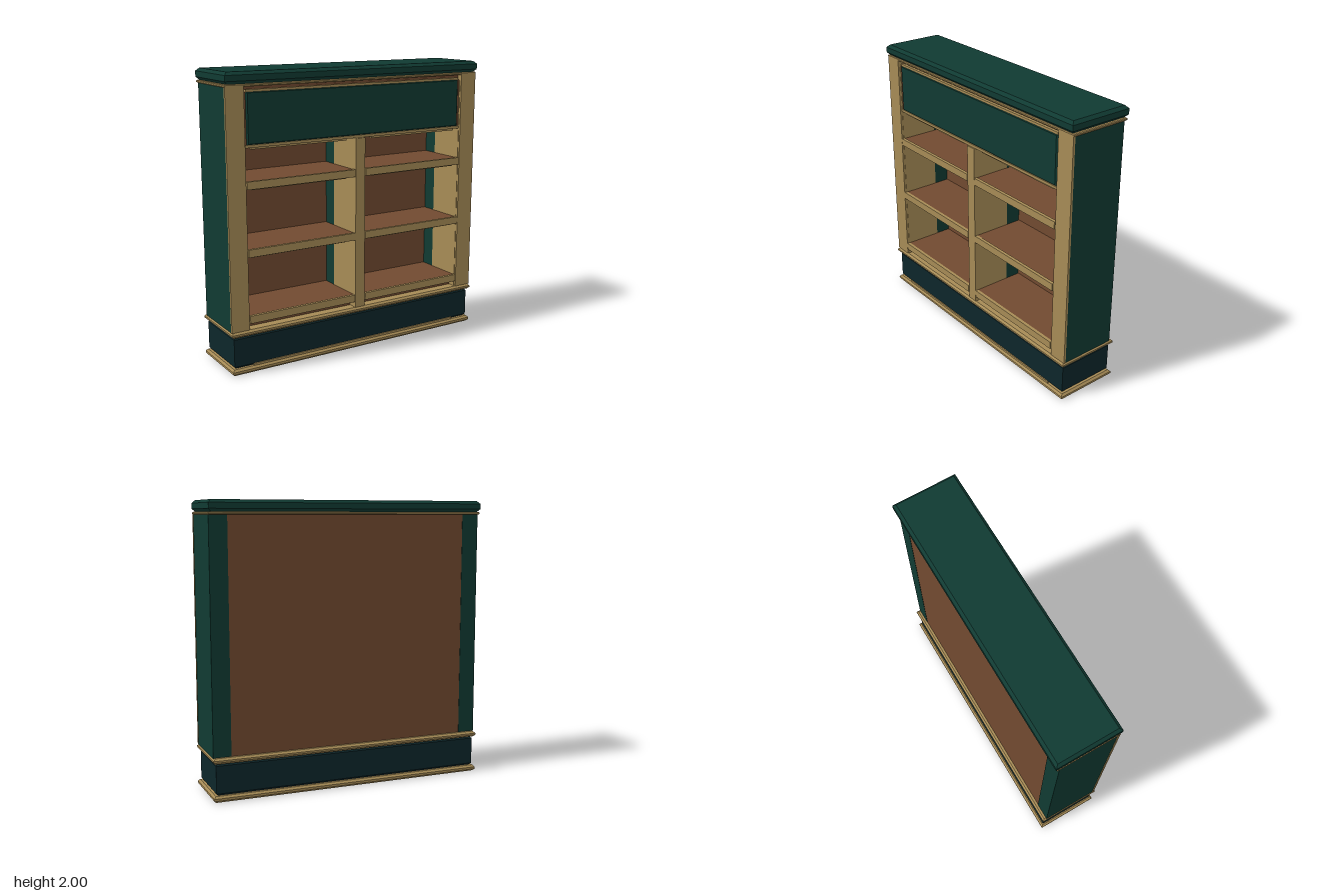
import * as THREE from 'three';

const paint = (name, color) => {
  const m = new THREE.MeshStandardMaterial({ color });
  m.name = name;
  return m;
};

export function createModel() {
  const green = paint('green paint', 0x103a32);
  const dark = paint('dark plinth paint', 0x0d262a);
  const tan = paint('light wood', 0xa68b56);
  const brown = paint('brown wood', 0x714a30);
  const root = new THREE.Group();
  root.name = 'bookcase';

  // Plain block given by its limits on each axis
  function block(name, mat, x0, x1, y0, y1, z0, z1, parent = root) {
    const mesh = new THREE.Mesh(new THREE.BoxGeometry(x1 - x0, y1 - y0, z1 - z0), mat);
    mesh.position.set((x0 + x1) / 2, (y0 + y1) / 2, (z0 + z1) / 2);
    mesh.name = name;
    parent.add(mesh);
    return mesh;
  }

  // Slab with chamfered rims, extruded from a rectangle of half sizes a, b
  function slabGeometry(a, b, thick, c) {
    const w = a - c, h = b - c;
    const s = new THREE.Shape();
    s.moveTo(-w, -h);
    s.lineTo(w, -h);
    s.lineTo(w, h);
    s.lineTo(-w, h);
    s.closePath();
    const g = new THREE.ExtrudeGeometry(s, {
      depth: thick - 2 * c, bevelEnabled: true, bevelSegments: 1, bevelSize: c, bevelThickness: c,
    });
    return g.translate(0, 0, c);
  }
  function layer(name, mat, halfX, halfZ, y0, y1, c) {
    const mesh = new THREE.Mesh(slabGeometry(halfX, halfZ, y1 - y0, c).rotateX(-Math.PI / 2), mat);
    mesh.position.y = y0;
    mesh.name = name;
    root.add(mesh);
  }

  // Base, mouldings and cap
  layer('bottomMoulding', tan, 1, 0.23, 0, 0.043, 0.014);
  layer('plinth', dark, 0.98, 0.21, 0.043, 0.262, 0.014);
  layer('baseMoulding', tan, 1, 0.23, 0.262, 0.302, 0.014);
  layer('topMoulding', tan, 1, 0.22, 1.904, 1.922, 0.005);
  layer('cap', green, 1, 0.23, 1.922, 2, 0.02);
  block('plinthBead', tan, -0.84, 0.84, 0.043, 0.058, 0.2, 0.218);

  // Back panel
  block('backPanel', brown, -0.87, 0.87, 0.3, 1.905, -0.198, -0.185);

  // Side posts with inner linings and front stiles
  for (const s of [-1, 1]) {
    const side = new THREE.Group();
    side.name = s > 0 ? 'leftSide' : 'rightSide';
    root.add(side);
    const add = (name, mat, a, b, y0, y1, z0, z1) =>
      block(name, mat, Math.min(s * a, s * b), Math.max(s * a, s * b), y0, y1, z0, z1, side);
    add('sidePost', green, 0.87, 0.995, 0.3, 1.905, -0.2, 0.205);
    add('sideLining', tan, 0.865, 0.872, 0.3, 1.905, -0.07, 0.205);
    add('frontStile', tan, 0.868, 0.998, 0.302, 1.91, 0.205, 0.22);

    // Shelves with light front lips and a thin bead below each
    for (const y of [0.345, 0.798, 1.248]) {
      add('shelf', brown, 0.038, 0.867, y + 0.003, y + 0.047, -0.187, 0.205);
      add('shelfLip', tan, 0.043, 0.862, y, y + 0.052, 0.2, 0.223);
      add('shelfBead', tan, 0.1, 0.82, y - 0.009, y + 0.003, 0.18, 0.2);
    }
    add('headerBead', tan, 0.1, 0.82, 1.503, 1.514, 0.18, 0.2);
  }

  // Board beneath the lowest shelf
  block('kickBoard', brown, -0.867, 0.867, 0.3, 0.35, 0.13, 0.15);

  // Middle divider
  block('dividerBack', green, -0.034, 0.034, 0.3, 1.52, -0.187, -0.07);
  block('dividerFront', tan, -0.038, 0.038, 0.302, 1.515, -0.07, 0.22);

  // Header with framed raised panel
  block('header', brown, -0.867, 0.867, 1.512, 1.905, -0.187, 0.185);
  block('headerFrameTop', tan, -0.85, 0.85, 1.868, 1.885, 0.18, 0.205);
  block('headerFrameBottom', tan, -0.862, 0.862, 1.516, 1.534, 0.18, 0.212);
  for (const s of [-1, 1]) {
    block('headerFrameSide', brown, s * 0.856 - 0.008, s * 0.856 + 0.008, 1.53, 1.87, 0.18, 0.2);
  }
  const panel = new THREE.Mesh(slabGeometry(0.85, 0.172, 0.03, 0.01), green);
  panel.position.set(0, 1.702, 0.18);
  panel.name = 'headerPanel';
  root.add(panel);

  return root;
}
